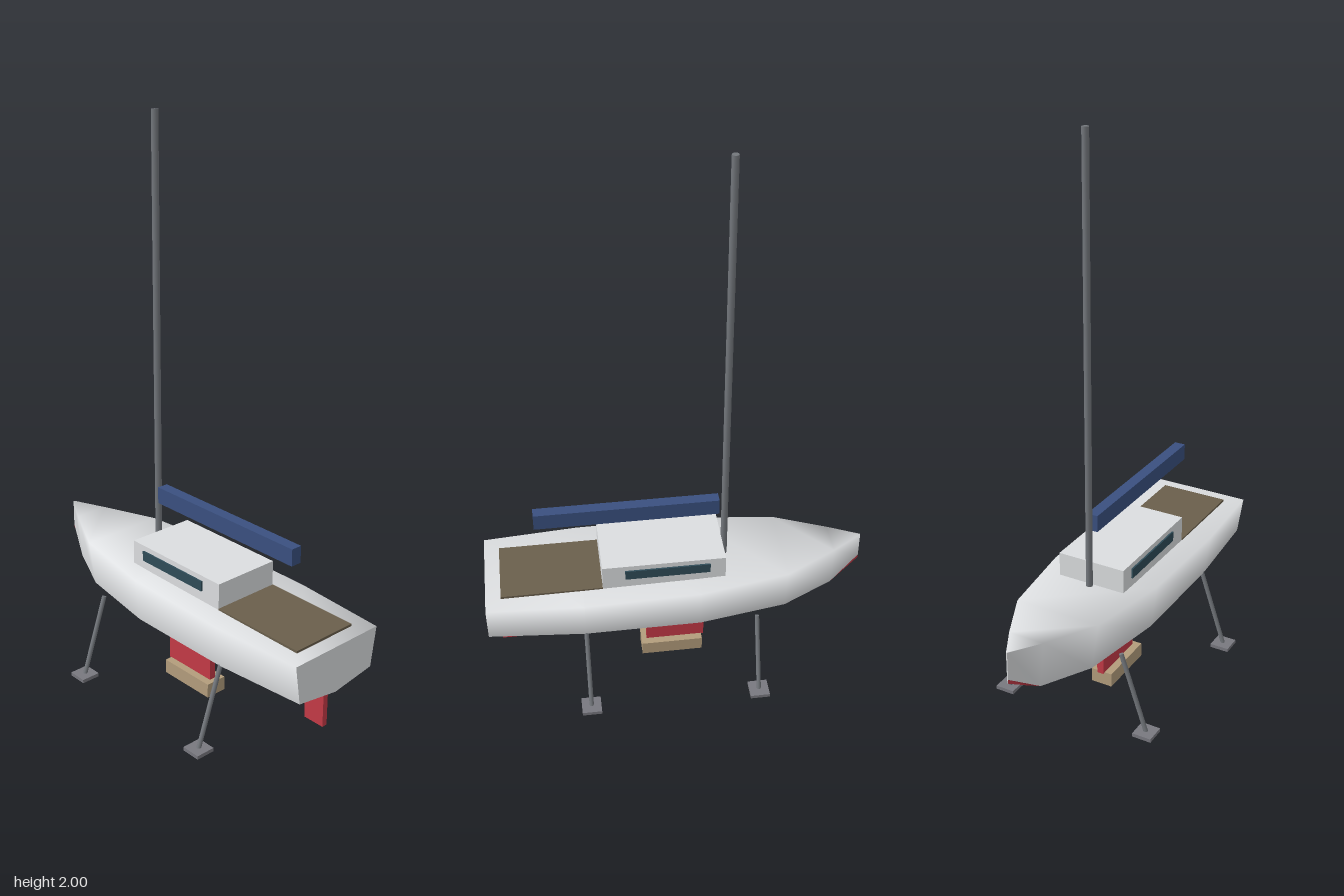
import * as THREE from 'three';

const paint = (name, color) => {
  const m = new THREE.MeshStandardMaterial({ color });
  m.name = name;
  return m;
};

export function createModel() {
  const boat = new THREE.Group();
  boat.name = 'sailingYacht';

  const white = paint('hullWhite', 0xdcdee0);
  const red = paint('antifoulRed', 0xc43a46);
  const grey = paint('sparGrey', 0x73777c);
  const padGrey = paint('padGrey', 0x78787f);
  const navy = paint('sailCoverNavy', 0x3a5080);
  const teak = paint('cockpitBrown', 0x6a5f4c);
  const glass = paint('windowTeal', 0x2f4c58);
  const wood = paint('blockWood', 0xb39d7c);

  const add = (name, geometry, material) => {
    const mesh = new THREE.Mesh(geometry, material);
    mesh.name = name;
    boat.add(mesh);
    return mesh;
  };
  // Box given by its limits on each axis
  const box = (name, [x0, x1], [y0, y1], [z0, z1], material) => {
    const g = new THREE.BoxGeometry(x1 - x0, y1 - y0, z1 - z0);
    add(name, g.translate((x0 + x1) / 2, (y0 + y1) / 2, (z0 + z1) / 2), material);
  };
  const rod = (name, from, to, radius, sides, material) => {
    const dir = to.clone().sub(from);
    const mesh = add(name, new THREE.CylinderGeometry(radius, radius, dir.length(), sides), material);
    mesh.position.copy(from).add(to).multiplyScalar(0.5);
    mesh.quaternion.setFromUnitVectors(new THREE.Vector3(0, 1, 0), dir.normalize());
  };

  // Hull stations, stern to bow: z, sheer half width, sheer y, chine half width, chine y, keel y
  const stations = [
    [0.68, 0.186, 0.437, 0.165, 0.297, 0.272],
    [0.34, 0.208, 0.44, 0.185, 0.287, 0.228],
    [-0.07, 0.203, 0.446, 0.182, 0.285, 0.228],
    [-0.385, 0.155, 0.456, 0.13, 0.284, 0.25],
    [-0.57, 0.064, 0.466, 0.05, 0.3, 0.285],
    [-0.68, 0.002, 0.474, 0.002, 0.375, 0.36],
  ];
  const topLines = stations.map(([z, w, sy, c, cy]) => [[-c, cy, z], [-w, sy, z], [w, sy, z], [c, cy, z]]);
  const bottomLines = stations.map(([z, , , c, cy, ky]) => [[c, cy, z], [0, ky, z], [-c, cy, z]]);

  const surface = (points, index, flat) => {
    let g = new THREE.BufferGeometry();
    g.setAttribute('position', new THREE.Float32BufferAttribute(points.flat(), 3));
    g.setIndex(index);
    if (flat) g = g.toNonIndexed();
    g.computeVertexNormals();
    return g;
  };
  const loft = (rows, flat) => {
    const n = rows[0].length;
    const index = [];
    for (let i = 0; i < rows.length - 1; i++) {
      for (let j = 0; j < n - 1; j++) {
        const a = i * n + j, d = a + n;
        index.push(a, a + 1, d + 1, a, d + 1, d);
      }
    }
    return surface(rows.flat(), index, flat);
  };
  add('topsidesAndDeck', loft(topLines, false), white);
  add('hullBottom', loft(bottomLines, true), red);

  // Flat ends of the hull
  const endCap = (name, i, order) => {
    const points = [bottomLines[i][1], topLines[i][3], topLines[i][2], topLines[i][1], topLines[i][0]];
    add(name, surface(points, order, true), white);
  };
  endCap('transom', 0, [0, 1, 2, 0, 2, 3, 0, 3, 4]);
  endCap('stem', stations.length - 1, [0, 2, 1, 0, 3, 2, 0, 4, 3]);

  // Cabin, windows and cockpit
  box('cabin', [-0.125, 0.125], [0.42, 0.535], [-0.165, 0.27], white);
  box('cockpitSole', [-0.126, 0.126], [0.425, 0.446], [0.27, 0.626], teak);
  for (const s of [-1, 1]) {
    box(s > 0 ? 'leftWindow' : 'rightWindow', [s * 0.1275 - 0.0035, s * 0.1275 + 0.0035],
      [0.48, 0.516], [-0.11, 0.19], glass);
  }

  // Mast and covered boom
  rod('mast', new THREE.Vector3(0, 0.44, -0.177), new THREE.Vector3(0, 2, -0.177), 0.012, 8, grey);
  box('boomCover', [-0.02, 0.02], [0.65, 0.71], [-0.155, 0.493], navy);

  // Keel, rudder and supporting block
  box('keel', [-0.0125, 0.0125], [0.05, 0.25], [-0.107, 0.108], red);
  box('rudder', [-0.01, 0.01], [0.125, 0.285], [0.56, 0.64], red);
  box('keelBlock', [-0.04, 0.04], [0, 0.052], [-0.098, 0.127], wood);

  // Stands propping the hull
  for (const z of [0.338, -0.274]) {
    for (const s of [-1, 1]) {
      rod('standLeg', new THREE.Vector3(s * 0.275, 0.008, z), new THREE.Vector3(s * 0.178, 0.29, z), 0.008, 8, grey);
      box('standPad', [s * 0.275 - 0.035, s * 0.275 + 0.035], [0, 0.013], [z - 0.035, z + 0.035], padGrey);
    }
  }
  return boat;
}
